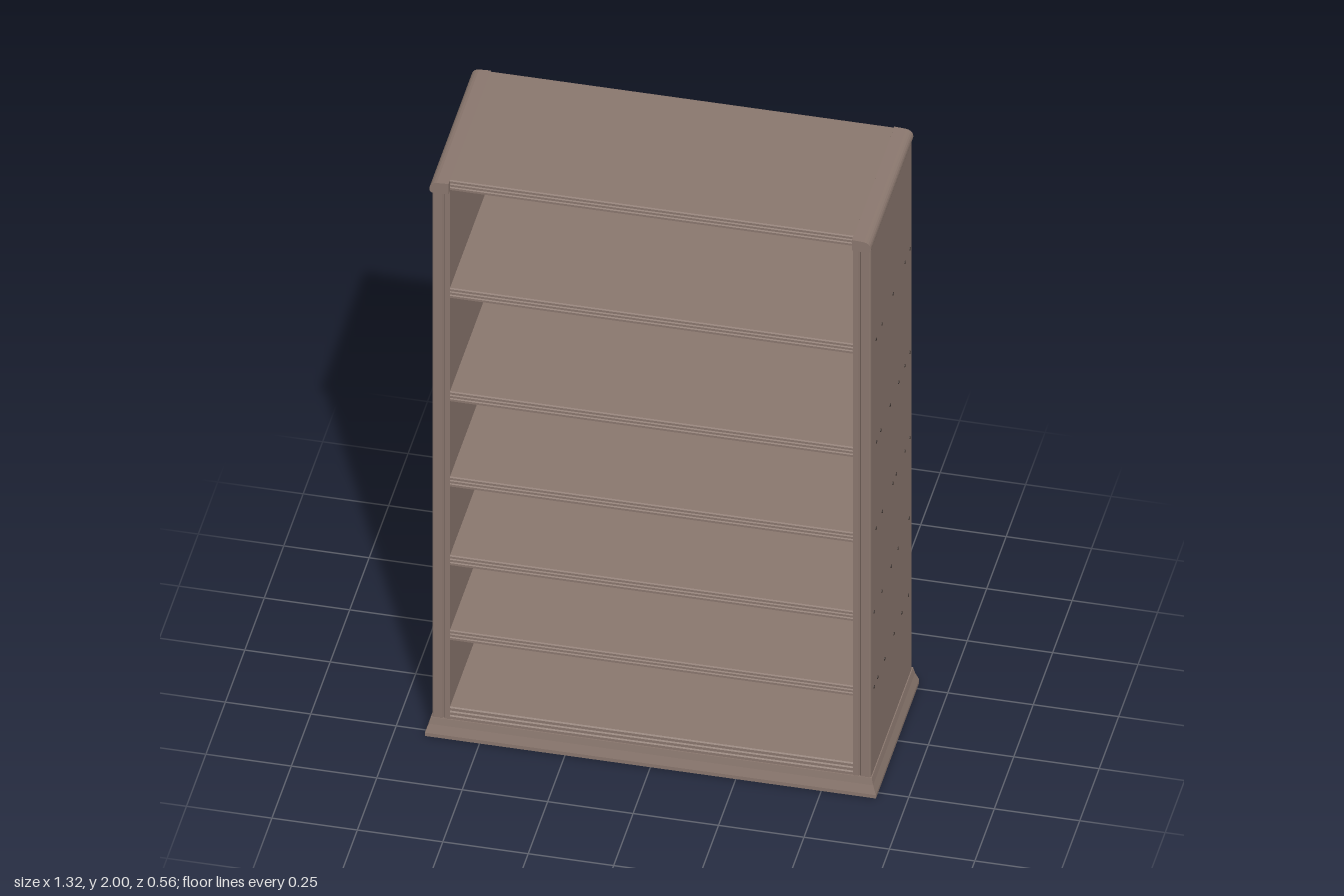
import * as THREE from 'three';

const wood = new THREE.MeshStandardMaterial({ color: 0x8a776e });
wood.name = 'brown wood';
const dark = new THREE.MeshStandardMaterial({ color: 0x3d332f });
dark.name = 'dark screw';

const add = (parent, name, geometry, material = wood) => {
  const mesh = new THREE.Mesh(geometry, material);
  mesh.name = name;
  parent.add(mesh);
  return mesh;
};

const extrude = (shape, depth) =>
  new THREE.ExtrudeGeometry(shape, { depth, bevelEnabled: false, curveSegments: 5 }).translate(0, 0, -depth / 2);

// Board with a reeded front edge and a rounded back edge, running along x
function boardGeometry(y0, y1) {
  const h = y1 - y0, front = 0.264, back = -0.264, r = 0.008;
  const s = new THREE.Shape();
  s.moveTo(back + r, y0);
  s.lineTo(front - 0.004, y0);
  for (let i = 0; i < 3; i++) {
    const a = y0 + (h * i) / 3, b = y0 + (h * (i + 1)) / 3;
    s.lineTo(front, a + h * 0.07);
    s.lineTo(front, b - h * 0.07);
    s.lineTo(front - 0.004, b);
  }
  s.lineTo(back + r, y1);
  s.quadraticCurveTo(back, y1, back, y1 - r);
  s.lineTo(back, y0 + r);
  s.quadraticCurveTo(back, y0, back + r, y0);
  return extrude(s, 1.182).rotateY(-Math.PI / 2);
}

// Upright seen from above: grooved front edge, softened outer corners
function uprightGeometry() {
  const s = new THREE.Shape();
  const xi = 0.59, xo = 0.642, z = 0.264, r = 0.006;
  s.moveTo(xi, -z);
  s.lineTo(xo - r, -z);
  s.quadraticCurveTo(xo, -z, xo, -z + r);
  s.lineTo(xo, z - r);
  s.quadraticCurveTo(xo, z, xo - r, z);
  s.lineTo(0.613, z);
  s.lineTo(0.609, z - 0.006);
  s.lineTo(0.605, z);
  s.lineTo(xi, z);
  s.closePath();
  return extrude(s, 1.91).rotateX(Math.PI / 2).translate(0, 1.01, 0);
}

// Rounded cap strip over each upright
function capGeometry() {
  const s = new THREE.Shape();
  s.moveTo(0.59, 1.962);
  s.lineTo(0.64, 1.962);
  s.quadraticCurveTo(0.646, 1.965, 0.646, 1.975);
  s.quadraticCurveTo(0.646, 1.994, 0.625, 1.998);
  s.lineTo(0.59, 2);
  s.closePath();
  return extrude(s, 0.545).translate(0, 0, 0.008);
}

// Flared plinth: stacked rectangular sections [y, half width, half depth]
function plinthGeometry() {
  const rows = [[0, 0.66, 0.278], [0.012, 0.66, 0.278], [0.04, 0.65, 0.27], [0.062, 0.645, 0.266]];
  const pos = [];
  const corners = ([y, x, z]) => [[-x, y, z], [x, y, z], [x, y, -z], [-x, y, -z]];
  const quad = (a, b, c, d) => pos.push(...a, ...b, ...c, ...a, ...c, ...d);
  for (let i = 0; i < rows.length - 1; i++) {
    const lo = corners(rows[i]), hi = corners(rows[i + 1]);
    for (let k = 0; k < 4; k++) quad(lo[k], lo[(k + 1) % 4], hi[(k + 1) % 4], hi[k]);
  }
  const top = corners(rows[rows.length - 1]), base = corners(rows[0]);
  quad(...top);
  quad(base[3], base[2], base[1], base[0]);
  const g = new THREE.BufferGeometry();
  g.setAttribute('position', new THREE.Float32BufferAttribute(pos, 3));
  g.computeVertexNormals();
  return g;
}

export function createModel() {
  const model = new THREE.Group();
  model.name = 'bookcase';

  add(model, 'plinth', plinthGeometry());
  add(model, 'bottomBoard', boardGeometry(0.06, 0.105));
  add(model, 'topBoard', boardGeometry(1.964, 2));

  // Shelf centre heights
  const heights = [0.363, 0.632, 0.915, 1.222, 1.594];
  heights.forEach((y, i) => add(model, `shelf${i + 1}`, boardGeometry(y - 0.018, y + 0.018)));

  // Screw positions along z for each shelf
  const screwZ = [
    [0.225, 0.18, 0.09, -0.03, -0.13, -0.215],
    [0.225, 0.125, 0.005, -0.08, -0.225],
    [0.2, 0.12, -0.015, -0.06, -0.17, -0.235],
    [0.195, 0.14, 0.02, -0.09, -0.17, -0.235],
    [0.2, 0.125, -0.02, -0.17, -0.235],
  ];
  const screw = new THREE.CylinderGeometry(0.005, 0.005, 0.005, 8).rotateZ(Math.PI / 2);

  // Both sides share the same parts, turned half round with the cap kept facing forward
  for (const side of [1, -1]) {
    const group = new THREE.Group();
    group.name = side > 0 ? 'leftSide' : 'rightSide';
    group.scale.x = side;
    add(group, 'upright', uprightGeometry());
    add(group, 'cap', capGeometry());
    heights.forEach((y, i) => screwZ[i].forEach((z) =>
      add(group, 'screw', screw, dark).position.set(0.6415, y - 0.003, z)));
    model.add(group);
  }
  return model;
}
